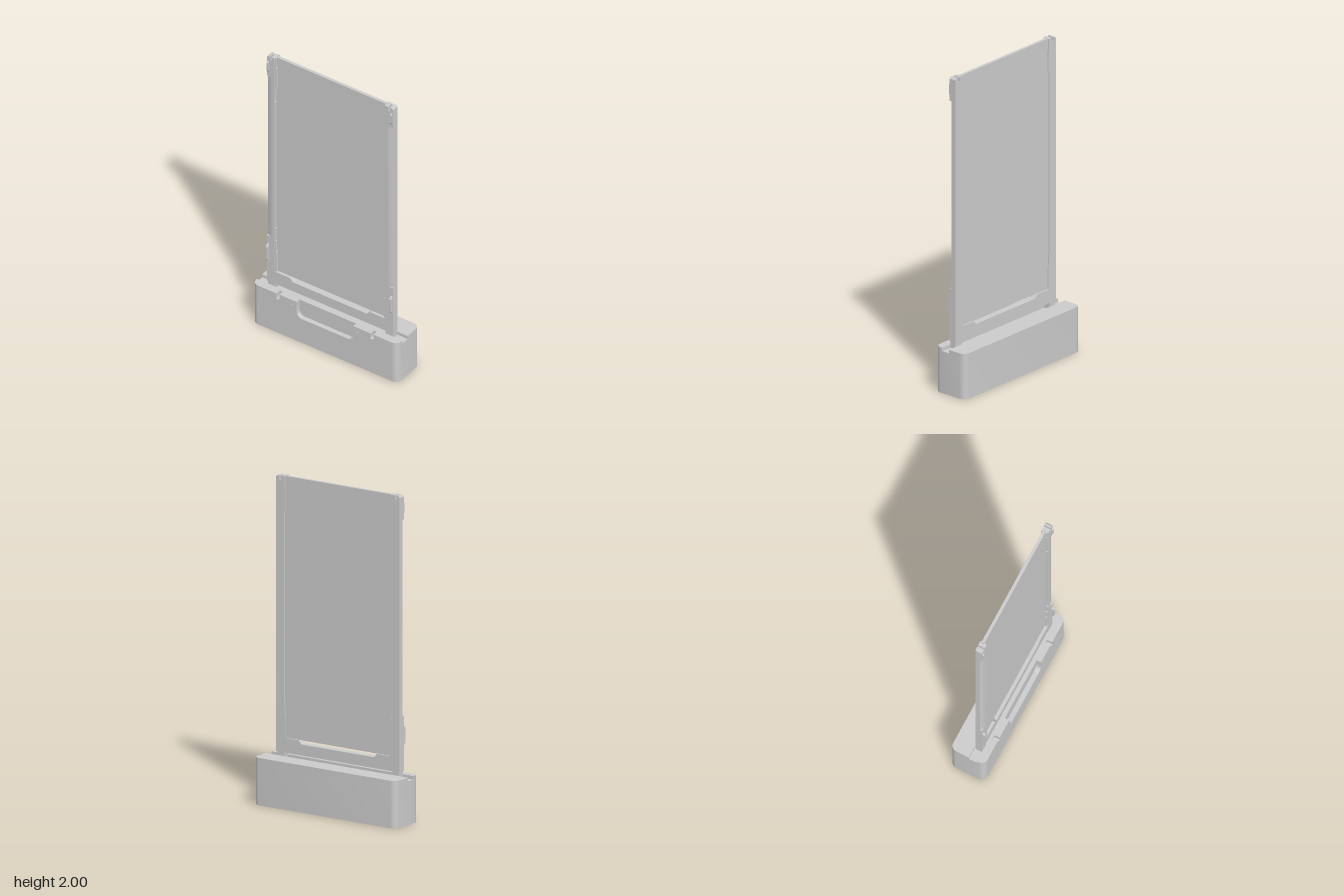
import * as THREE from 'three';
import { toCreasedNormals } from 'three/addons/utils/BufferGeometryUtils.js';

const grey = new THREE.MeshStandardMaterial({ color: 0xcccccc, side: THREE.DoubleSide });

export function createModel() {
  const model = new THREE.Group();
  const base = new THREE.Group();
  base.name = 'base';
  const screen = new THREE.Group();
  screen.name = 'framedScreen';
  model.add(base, screen);

  const add = (parent, name, geometry) => {
    const mesh = new THREE.Mesh(geometry, grey);
    mesh.name = name;
    parent.add(mesh);
    return mesh;
  };
  const box = (parent, name, x0, x1, y0, y1, z0, z1) =>
    add(parent, name, new THREE.BoxGeometry(x1 - x0, y1 - y0, z1 - z0)
      .translate((x0 + x1) / 2, (y0 + y1) / 2, (z0 + z1) / 2));
  const extrude = (shape, depth) => new THREE.ExtrudeGeometry(shape, { depth, bevelEnabled: false, curveSegments: 8 });
  // outline in x and y, extruded along z
  const upright = (parent, name, shape, z0, z1) =>
    add(parent, name, toCreasedNormals(extrude(shape, z1 - z0).translate(0, 0, z0), 0.5));
  // outline in x and z, extruded along y
  const level = (parent, name, shape, y0, y1) =>
    add(parent, name, toCreasedNormals(extrude(shape, y1 - y0).rotateX(Math.PI / 2).translate(0, y1, 0), 0.5));
  const polygon = (points) => new THREE.Shape(points.map(([x, y]) => new THREE.Vector2(x, y)));

  // ---- base: thin shell, open below, with a slot across the top ----
  const W = 0.526, D = 0.115, R = 0.04, T = 0.006;
  const slotY = 0.268, topY = 0.29, slotBack = 0.01, slotFront = 0.063;
  const PI = Math.PI;

  // side and back walls with their four rounded corners
  const walls = new THREE.Shape();
  walls.moveTo(-W + R, D);
  walls.absarc(-W + R, D - R, R, PI / 2, PI, false);
  walls.absarc(-W + R, -D + R, R, PI, PI * 1.5, false);
  walls.absarc(W - R, -D + R, R, PI * 1.5, PI * 2, false);
  walls.absarc(W - R, D - R, R, 0, PI / 2, false);
  walls.absarc(W - R, D - R, R - T, PI / 2, 0, true);
  walls.absarc(W - R, -D + R, R - T, 0, -PI / 2, true);
  walls.absarc(-W + R, -D + R, R - T, -PI / 2, -PI, true);
  walls.absarc(-W + R, D - R, R - T, PI, PI / 2, true);
  walls.closePath();
  level(base, 'sideAndBackWalls', walls, 0, slotY);

  // recesses in the front: centre, half width, bottom, back, corner radius
  const recesses = [
    { name: 'smallNotch', x: -0.34, w: 0.01, y: 0.25, z: 0.08, r: 0.008 },
    { name: 'gripRecess', x: 0, w: 0.205, y: 0.178, z: 0.085, r: 0.04 },
    { name: 'smallNotch', x: 0.34, w: 0.01, y: 0.25, z: 0.08, r: 0.008 },
  ];
  const traceU = (path, { x, w, y, r }, top) => {
    path.lineTo(x - w, top);
    path.lineTo(x - w, y + r);
    path.absarc(x - w + r, y + r, r, PI, PI * 1.5, false);
    path.absarc(x + w - r, y + r, r, PI * 1.5, PI * 2, false);
    path.lineTo(x + w, top);
  };

  const front = new THREE.Shape();
  front.moveTo(W - R, slotY);
  front.lineTo(W - R, 0);
  front.lineTo(-W + R, 0);
  front.lineTo(-W + R, slotY);
  recesses.forEach((c) => traceU(front, c, slotY));
  front.closePath();
  for (const s of [-1, 1]) {
    const hole = new THREE.Path();
    hole.absarc(s * 0.235, 0.258, 0.005, 0, PI * 2, true);
    front.holes.push(hole);
  }
  upright(base, 'frontWall', front, D - T, D);

  // back plate and lining of each recess
  for (const c of recesses) {
    const plate = new THREE.Shape();
    plate.moveTo(c.x - c.w, topY);
    traceU(plate, c, topY);
    upright(base, c.name + 'Back', plate, c.z - 0.003, c.z);
    const lining = new THREE.Shape();
    const outer = { ...c, w: c.w + 0.003, y: c.y - 0.003, r: c.r + 0.003 };
    lining.moveTo(outer.x - outer.w, slotY);
    traceU(lining, outer, slotY);
    lining.lineTo(c.x + c.w, slotY);
    lining.lineTo(c.x + c.w, c.y + c.r);
    lining.absarc(c.x + c.w - c.r, c.y + c.r, c.r, 0, -PI / 2, true);
    lining.absarc(c.x - c.w + c.r, c.y + c.r, c.r, -PI / 2, -PI, true);
    lining.lineTo(c.x - c.w, slotY);
    lining.closePath();
    upright(base, c.name + 'Lining', lining, c.z, D - T);
  }

  // top deck behind the slot, lip in front of it, floor between
  const deck = new THREE.Shape();
  deck.moveTo(W, slotBack);
  deck.lineTo(-W, slotBack);
  deck.absarc(-W + R, -D + R, R, PI, PI * 1.5, false);
  deck.absarc(W - R, -D + R, R, PI * 1.5, PI * 2, false);
  deck.closePath();
  level(base, 'rearDeck', deck, slotY, topY);

  const lip = new THREE.Shape();
  lip.moveTo(W, slotFront);
  lip.lineTo(W, D - R);
  lip.absarc(W - R, D - R, R, 0, PI / 2, false);
  for (const { x, w, z } of [...recesses].reverse()) {
    lip.lineTo(x + w, D);
    lip.lineTo(x + w, z);
    lip.lineTo(x - w, z);
    lip.lineTo(x - w, D);
  }
  lip.absarc(-W + R, D - R, R, PI / 2, PI, false);
  lip.lineTo(-W, slotFront);
  lip.closePath();
  level(base, 'frontLip', lip, slotY, topY);
  box(base, 'slotFloor', -W + T, W - T, slotY - T, slotY, slotBack, slotFront);

  // ---- frame: U shape, its top edge filled by the panel ----
  const X = 0.457, inner = 0.4, zBack = 0.018, zMid = 0.042, zFront = 0.063;
  const half = (recessed) => {
    const edge = [[X, 0.31]];
    if (recessed) edge.push([X, 0.65], [0.42, 0.65], [0.42, 1.85], [X, 1.85]);
    edge.push([X, 1.99], [0.447, 2], [0.434, 2], [0.434, 1.975], [0.422, 1.975], [0.422, 2],
      [inner, 2], [inner, 0.4], [0.29, 0.4], [0.268, 0.377]);
    return edge;
  };
  const uFrame = (recessed) => {
    const right = half(recessed);
    return polygon([...right, ...right.map(([x, y]) => [-x, y]).reverse()]);
  };
  upright(screen, 'frameRear', uFrame(false), zBack, zMid);
  upright(screen, 'frameFront', uFrame(true), zMid, zFront);

  box(screen, 'panel', -0.397, 0.397, 0.4, 2, 0.027, 0.046);

  for (const s of [-1, 1]) {
    const side = (name, x0, x1, ...rest) => box(screen, name, Math.min(s * x0, s * x1), Math.max(s * x0, s * x1), ...rest);

    // sloping outer edge of the rail
    const slope = polygon([[s * 0.42, zMid], [s * X, zMid], [s * X, 0.05], [s * 0.425, zFront], [s * 0.42, zFront]]);
    level(screen, 'railSlope', slope, 0.65, 1.85);

    // retaining tabs over the panel edge
    for (const [z0, z1] of [[zBack, 0.026], [0.047, 0.06]]) {
      side('lowerTab', 0.388, 0.402, 0.4, 0.55, z0, z1);
      side('lowerTabStep', 0.393, 0.402, 0.55, 0.63, z0, z1);
      side('upperTabStep', 0.388, 0.402, 1.78, 1.93, z0, z1);
      side('upperTab', 0.393, 0.402, 1.93, 2, z0, z1);
    }

    // chamfered lugs standing out of the front, drawn in z and y
    for (const [name, y0, y1, z] of [['lowerLug', 0.465, 0.59, 0.08], ['upperLug', 1.885, 1.96, 0.072]]) {
      const c = z - zFront;
      const profile = polygon([[zFront - 0.005, y0 - 0.005], [zFront, y0 - 0.005], [z, y0 + c],
        [z, y1 - c], [zFront, y1], [zFront - 0.005, y1]]);
      const lug = extrude(profile, 0.014).rotateY(-PI / 2).translate(s * 0.447 + 0.007, 0, 0);
      add(screen, name, lug);
    }

    // small pins beside the panel
    for (const y of [0.72, 1.67]) {
      add(screen, 'pin', new THREE.CylinderGeometry(0.008, 0.008, 0.014, 12)
        .rotateX(PI / 2).translate(s * 0.402, y, 0.057));
    }

    // feet that plug into the slot
    side('foot', 0.4, 0.452, slotY, 0.312, 0.02, 0.06);
  }
  return model;
}
